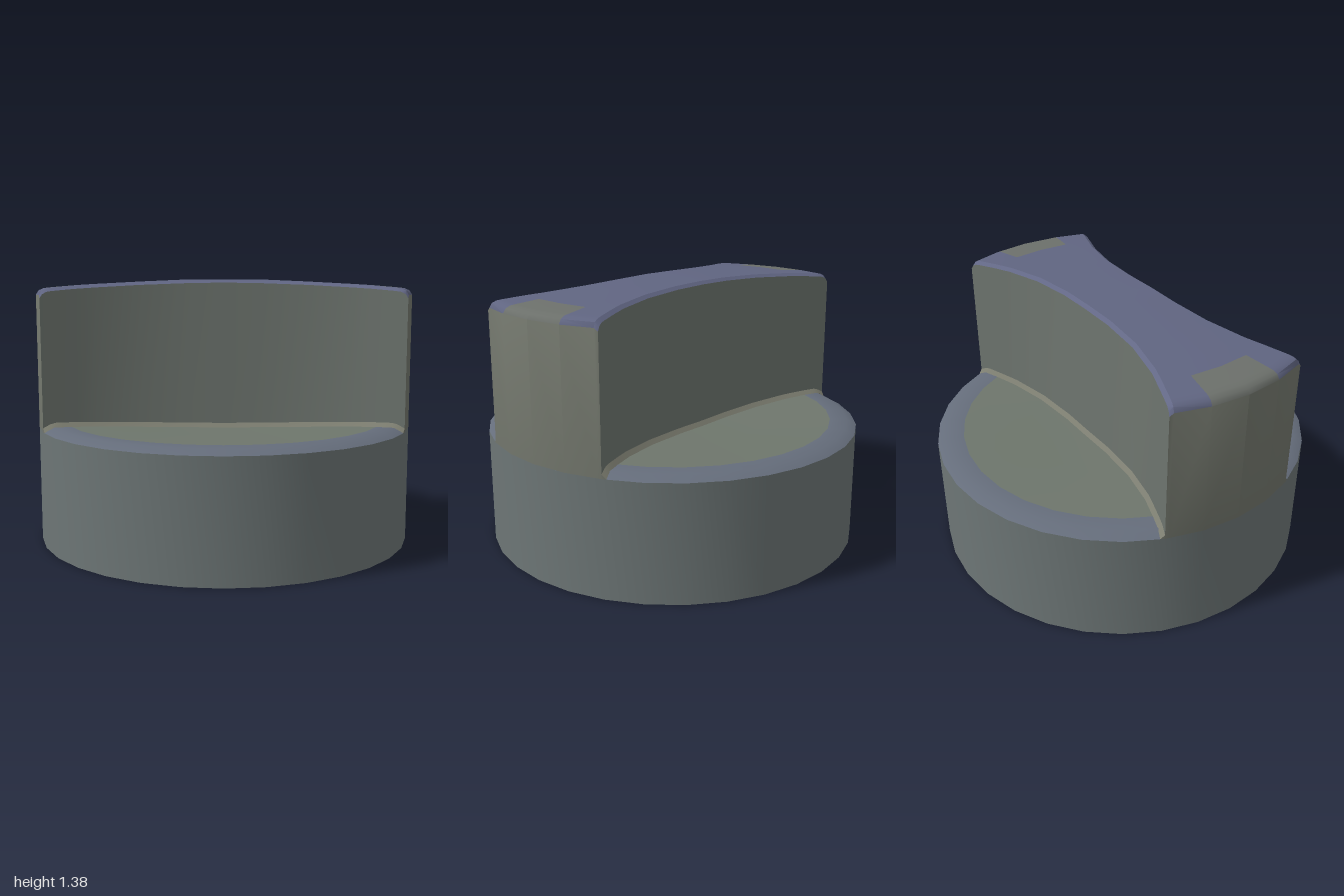
import * as THREE from 'three';
import { toCreasedNormals } from 'three/addons/utils/BufferGeometryUtils.js';

const COLORS = {
  baseBottom: 0x8d6661, baseSide: 0x6d7676, baseRim: 0x656d7b, baseTop: 0x6e766c,
  gripFillet: 0x7c7d70, gripWall: 0x6e756f, gripChamfer: 0x626785,
  gripTop: 0x606581, gripTopEnd: 0x6c706b, gripEnd: 0x72766c,
};

// Piecewise-linear lookup in a list of [x, y] pairs
function lookup(table, x) {
  for (let i = 1; i < table.length; i++) {
    const [x0, y0] = table[i - 1], [x1, y1] = table[i];
    if (x <= x1) return y0 + (y1 - y0) * (x - x0) / (x1 - x0);
  }
  return table[table.length - 1][1];
}

const RIM = 0.61;
const SIDES = 32;
// Height by radius: slightly dished base top with bevelled rim, and domed grip top
const baseTop = [[0, 0.608], [0.2, 0.61], [0.5, 0.618], [0.86, 0.634], [0.95, 0.635], [1, RIM]];
const gripTop = [[0, 1.385], [0.2, 1.385], [0.55, 1.37], [0.8, 1.355], [0.93, 1.344],
  [0.96, 1.341], [0.985, 1.33], [1, 1.307]];
// Half thickness of the grip along its length (waisted in the middle)
const END_WIDTH = Math.sin(Math.PI / 8);
const halfWidth = [[0, 0.21], [0.2, 0.21], [0.45, 0.23], [0.69, 0.282], [1, END_WIDTH]];
// Straight-sided outline of the base: x by |z|
const outline = [0, 1, 2, 3, 4].map(k => k * 2 * Math.PI / SIDES).map(a => [Math.sin(a), Math.cos(a)]);

// Smooth the whole shape, then cut it into one named, coloured mesh per part;
// parts holds one name for each quad (six vertices)
function buildMeshes(group, geometry, parts) {
  const smooth = toCreasedNormals(geometry, 0.6);
  for (const part of new Set(parts)) {
    const piece = new THREE.BufferGeometry();
    for (const key of ['position', 'normal']) {
      const source = smooth.getAttribute(key).array;
      const values = [];
      parts.forEach((name, k) => {
        if (name === part) values.push(...source.slice(k * 18, k * 18 + 18));
      });
      piece.setAttribute(key, new THREE.Float32BufferAttribute(values, 3));
    }
    const mesh = new THREE.Mesh(piece, new THREE.MeshStandardMaterial({ color: COLORS[part] }));
    mesh.name = part;
    group.add(mesh);
  }
}

function addBase(group) {
  const profile = [[0, 0], [1, 0], ...baseTop.slice().reverse()];
  const lathe = new THREE.LatheGeometry(profile.map(([r, y]) => new THREE.Vector2(r, y)), SIDES);
  const bands = ['baseBottom', 'baseSide', 'baseRim', 'baseRim', 'baseTop', 'baseTop', 'baseTop'];
  const parts = Array.from({ length: SIDES * bands.length }, (_, k) => bands[k % bands.length]);
  buildMeshes(group, lathe, parts);
}

// One cross-section of the grip, from the front foot over the top to the back foot
function gripSection(s) {
  const w = lookup(halfWidth, Math.abs(s));
  const at = (z, height) => {
    const x = s * lookup(outline, Math.abs(z));
    return [x, height(Math.abs(s) === 1 ? 1 : Math.hypot(x, z)), z];
  };
  const top = r => lookup(gripTop, r);
  const foot = r => lookup(baseTop, r);
  const side = [
    at(w + 0.02, foot),
    at(w, r => foot(r) + 0.022),
    at(w, r => top(r) - 0.015),
    at(w - 0.02, top),
  ];
  const middle = [0.51, 0, -0.51].map(t => at(w * t, top));
  const back = side.map(([x, y, z]) => [x, y, -z]).reverse();
  return [...side, ...middle, ...back];
}

function addGrip(group) {
  const half = [0.2, 0.45, 0.69, 0.8, 0.88, 0.93, 0.96, 0.985, 1];
  const stations = [...half.map(s => -s).reverse(), 0, ...half];
  const rings = stations.map(gripSection);
  const bands = ['gripFillet', 'gripWall', 'gripChamfer', 'gripTop', 'gripTop'];
  bands.push(...bands.slice().reverse());
  const pos = [], parts = [];
  const quad = (part, a, b, c, d) => {
    pos.push(...a, ...b, ...c, ...a, ...c, ...d);
    parts.push(part);
  };

  // Walls, chamfers and domed top, with a differently tinted patch near each end
  for (let i = 0; i < rings.length - 1; i++) {
    const nearEnd = Math.abs(stations[i] + stations[i + 1]) / 2 > 0.82;
    bands.forEach((band, j) => {
      const part = nearEnd && (j === 4 || j === 5) ? 'gripTopEnd' : band;
      quad(part, rings[i][j], rings[i + 1][j], rings[i + 1][j + 1], rings[i][j + 1]);
    });
  }
  // Rounded ends, flush with the base
  const down = ([x, , z]) => [x, RIM, z];
  const first = rings[0], last = rings[rings.length - 1];
  bands.forEach((_, j) => {
    quad('gripEnd', last[j], down(last[j]), down(last[j + 1]), last[j + 1]);
    quad('gripEnd', first[j], first[j + 1], down(first[j + 1]), down(first[j]));
  });
  const geometry = new THREE.BufferGeometry();
  geometry.setAttribute('position', new THREE.Float32BufferAttribute(pos, 3));
  buildMeshes(group, geometry, parts);
}

export function createModel() {
  const group = new THREE.Group();
  group.name = 'knob';
  addBase(group);
  addGrip(group);
  return group;
}
